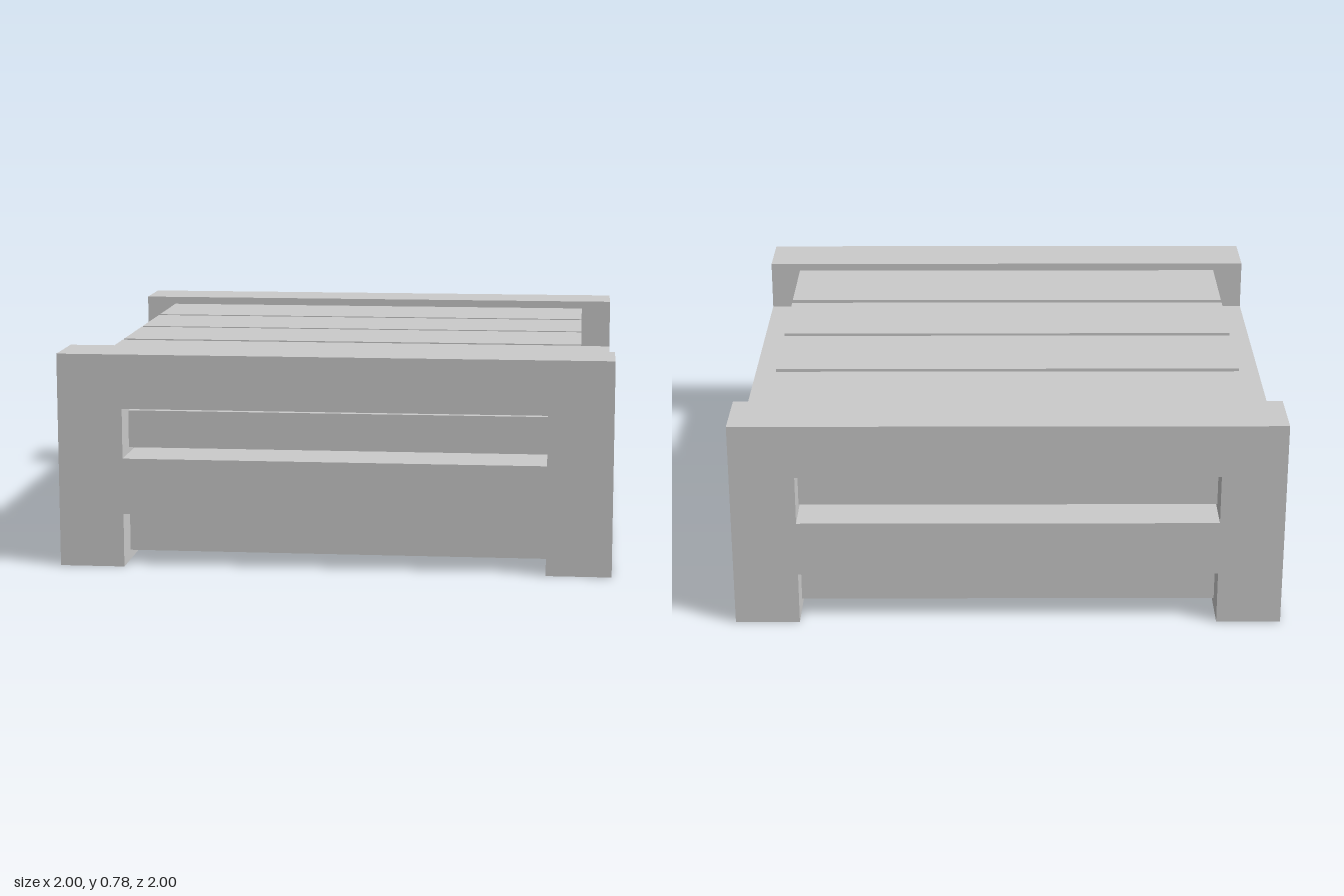
import * as THREE from 'three';

export function createModel() {
  const group = new THREE.Group();
  group.name = 'stackedTimberPlatform';
  const material = new THREE.MeshStandardMaterial({ color: 0xcccccc, flatShading: true });

  // Box given by its minimum and maximum on each axis
  function box(name, [x0, x1], [y0, y1], [z0, z1]) {
    const mesh = new THREE.Mesh(new THREE.BoxGeometry(x1 - x0, y1 - y0, z1 - z0), material);
    mesh.position.set((x0 + x1) / 2, (y0 + y1) / 2, (z0 + z1) / 2);
    mesh.name = name;
    group.add(mesh);
  }

  const inner = 0.765; // inner face of the beams
  const reach = 0.88;  // panels overhang halfway across the beams beneath
  const bands = [[-1, -inner], [inner, 1]];

  // Beams stacked crosswise: side pair, front and back pair, and again
  [[0, 0.2], [0.196, 0.4], [0.39, 0.588], [0.582, 0.78]].forEach((y, layer) => {
    for (const band of bands) {
      if (layer % 2 === 0) box('sideBeam', band, y, [-1, 1]);
      else box('crossBeam', [-1, 1], y, band);
    }
  });

  // Solid panels lying between the beams of the three lower layers
  box('bottomPanel', [-inner, inner], [0.035, 0.17], [-reach, reach]);
  box('lowerPanel', [-reach, reach], [0.235, 0.37], [-inner, inner]);
  box('upperPanel', [-inner, inner], [0.42, 0.557], [-reach, reach]);

  // Four top boards with narrow gaps
  for (const z of [[-0.765, -0.398], [-0.37, -0.016], [0.01, 0.365], [0.396, 0.765]]) {
    box('topBoard', [-reach, reach], [0.613, 0.75], z);
  }

  return group;
}
